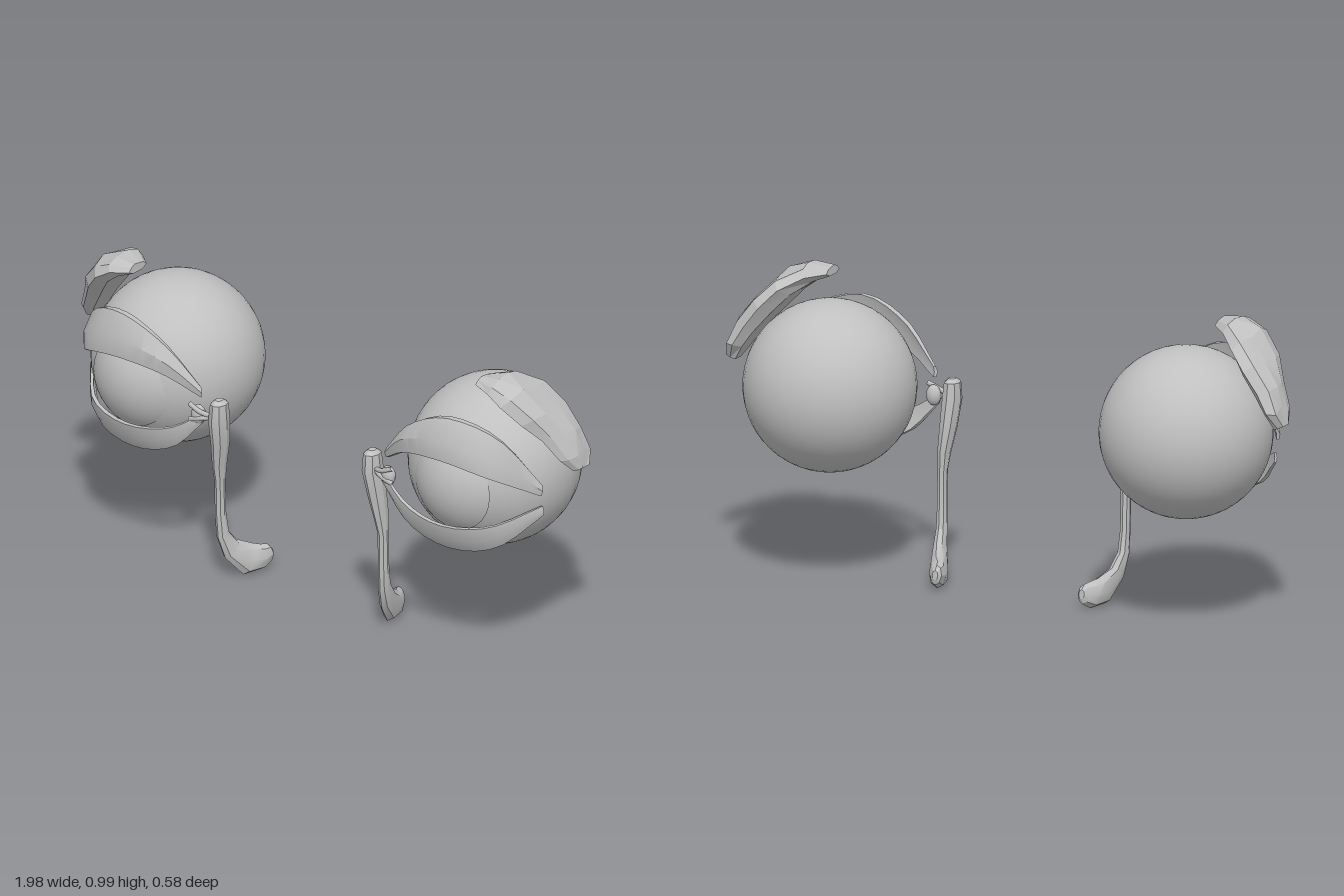
import * as THREE from 'three';
import { toCreasedNormals } from 'three/addons/utils/BufferGeometryUtils.js';

const V = (x, y, z) => new THREE.Vector3(x, y, z);

// Closed solid through equal-sized rings of points; side = -1 mirrors it in x.
function loft(rings, side, crease) {
  const n = rings[0].length, pos = [], idx = [];
  rings.flat().forEach(p => pos.push(p.x * side, p.y, p.z));
  for (let i = 0; i < rings.length - 1; i++) {
    for (let j = 0; j < n; j++) {
      const a = i * n + j, b = i * n + (j + 1) % n;
      idx.push(a, b, a + n, b, b + n, a + n);
    }
  }
  [0, rings.length - 1].forEach((r, k) => {
    const c = pos.length / 3, mid = V(0, 0, 0);
    rings[r].forEach(p => mid.addScaledVector(p, 1 / n));
    pos.push(mid.x * side, mid.y, mid.z);
    for (let j = 0; j < n; j++) {
      const a = r * n + j, b = r * n + (j + 1) % n;
      if (k === 0) idx.push(c, b, a); else idx.push(c, a, b);
    }
  });
  // a negative volume means the faces point inward
  const at = i => V(pos[3 * i], pos[3 * i + 1], pos[3 * i + 2]);
  let volume = 0;
  for (let i = 0; i < idx.length; i += 3) volume += at(idx[i]).dot(at(idx[i + 1]).cross(at(idx[i + 2])));
  if (volume < 0) idx.reverse();
  const g = new THREE.BufferGeometry();
  g.setAttribute('position', new THREE.Float32BufferAttribute(pos, 3));
  g.setIndex(idx);
  return toCreasedNormals(g, crease);
}

// Curved lid: stations of [x, low y, low z, high y, high z] on its inner face.
function lid(stations, thickness, bulge, side) {
  const low = new THREE.CatmullRomCurve3(stations.map(s => V(s[0], s[1], s[2])));
  const high = new THREE.CatmullRomCurve3(stations.map(s => V(s[0], s[3], s[4])));
  const rings = [];
  for (let i = 0; i <= 14; i++) {
    const t = i / 14, a = low.getPoint(t), b = high.getPoint(t);
    const mid = a.clone().lerp(b, 0.5);
    const out = V(mid.x - 0.63, 0, mid.z).normalize();
    const w = 0.35 + 0.65 * Math.sin(Math.PI * t);
    const push = (p, d) => p.clone().addScaledVector(out, d * w);
    rings.push([a, push(a, thickness), push(mid, thickness + bulge), push(b, thickness * 0.8), b, push(mid, bulge * 0.5)]);
  }
  return loft(rings, side, 0.6);
}

// Tear duct: rings of [x, y, z, half width, half depth] along a bending path.
function duct(side) {
  const path = [
    [0.305, 0.657, 0.2, 0.012, 0.015], [0.305, 0.645, 0.2, 0.026, 0.034], [0.306, 0.59, 0.2, 0.031, 0.04],
    [0.312, 0.5, 0.185, 0.027, 0.036], [0.322, 0.42, 0.176, 0.02, 0.03], [0.325, 0.36, 0.17, 0.016, 0.02],
    [0.325, 0.25, 0.168, 0.016, 0.02], [0.322, 0.17, 0.16, 0.018, 0.024], [0.312, 0.11, 0.13, 0.022, 0.037],
    [0.287, 0.062, 0.075, 0.03, 0.052], [0.272, 0.058, 0.03, 0.03, 0.044], [0.262, 0.065, 0.0, 0.02, 0.032],
    [0.26, 0.066, -0.01, 0.01, 0.016]];
  const rings = path.map((p, i) => {
    const a = path[Math.max(i - 1, 0)], b = path[Math.min(i + 1, path.length - 1)];
    const len = Math.hypot(b[1] - a[1], b[2] - a[2]);
    const ny = -(b[2] - a[2]) / len, nz = (b[1] - a[1]) / len;
    return Array.from({ length: 8 }, (_, j) => {
      const t = j / 8 * Math.PI * 2, d = Math.sin(t) * p[4];
      return V(p[0] + Math.cos(t) * p[3], p[1] + ny * d, p[2] + nz * d);
    });
  });
  return loft(rings, side, 0.5);
}

// Tear gland: lumpy shell, sections of [x, y, back z, front z, thickness].
function gland(side) {
  let seed = 7;
  const rand = () => (seed = (seed * 16807) % 2147483647) / 2147483647 - 0.5;
  const path = [
    [0.69, 0.98, 0.08, 0.165, 0.025], [0.75, 0.975, 0.025, 0.19, 0.055], [0.815, 0.94, -0.04, 0.19, 0.075],
    [0.87, 0.88, -0.065, 0.15, 0.078], [0.918, 0.815, -0.07, 0.1, 0.066], [0.955, 0.75, -0.07, 0.065, 0.055],
    [0.975, 0.703, -0.045, 0.02, 0.04]];
  // cross-section: across the width, and out from the eye
  const section = [[0, -0.1], [0.2, -0.5], [0.5, -0.5], [0.8, -0.5], [1, -0.1], [0.9, 0.32], [0.65, 0.52], [0.35, 0.5], [0.1, 0.3]];
  const rings = path.map((p, i) => {
    const a = path[Math.max(i - 1, 0)], b = path[Math.min(i + 1, path.length - 1)];
    const len = Math.hypot(b[0] - a[0], b[1] - a[1]);
    const nx = -(b[1] - a[1]) / len, ny = (b[0] - a[0]) / len;
    return section.map(([u, v]) => {
      const d = v * p[4] + (v > 0 ? rand() * 0.016 : 0);
      const slide = (i > 0 && i < path.length - 1) ? rand() * 0.02 : 0;
      return V(p[0] + nx * d + ny * slide, p[1] + ny * d - nx * slide, p[2] + u * (p[3] - p[2]) + rand() * 0.008);
    });
  });
  return loft(rings, side, 0.25);
}

export function createModel() {
  const model = new THREE.Group();
  model.name = 'eyeAnatomy';
  const grey = new THREE.MeshStandardMaterial({ color: 0xc0c0c0 });
  grey.name = 'lightGrey';

  for (const side of [1, -1]) {
    const eye = new THREE.Group();
    eye.name = side > 0 ? 'leftEye' : 'rightEye';
    model.add(eye);
    const add = (name, geometry) => {
      const mesh = new THREE.Mesh(geometry, grey);
      mesh.name = name;
      eye.add(mesh);
      return mesh;
    };

    // eyeball with a slightly bulging cornea
    add('eyeball', new THREE.SphereGeometry(0.277, 40, 28)).position.set(side * 0.632, 0.645, -0.012);
    const cap = new THREE.SphereGeometry(0.21, 28, 10, 0, Math.PI * 2, 0, Math.asin(0.15 / 0.21));
    add('cornea', cap.rotateX(Math.PI / 2)).position.set(side * 0.64, 0.635, 0.075);

    // lids standing just off the eyeball
    add('upperLid', lid([
      [0.375, 0.65, 0.205, 0.685, 0.205], [0.5, 0.722, 0.25, 0.815, 0.232], [0.645, 0.742, 0.262, 0.88, 0.235],
      [0.79, 0.708, 0.228, 0.835, 0.19], [0.895, 0.625, 0.1, 0.66, 0.092]], 0.026, 0.016, side));
    add('lowerLid', lid([
      [0.365, 0.565, 0.215, 0.595, 0.215], [0.48, 0.455, 0.215, 0.528, 0.24], [0.63, 0.413, 0.205, 0.505, 0.252],
      [0.78, 0.445, 0.178, 0.527, 0.214], [0.895, 0.553, 0.085, 0.585, 0.088]], 0.02, 0.008, side));

    // inner corner flesh and the two fine drainage tubes
    const corner = add('innerCorner', new THREE.SphereGeometry(1, 10, 8));
    corner.scale.set(0.026, 0.034, 0.02);
    corner.position.set(side * 0.378, 0.59, 0.212);
    for (const [name, y] of [['upperDrainTube', 0.625], ['lowerDrainTube', 0.572]]) {
      const curve = new THREE.CatmullRomCurve3([
        V(side * 0.405, y, 0.225), V(side * 0.36, 0.4 * y + 0.357, 0.225), V(side * 0.315, 0.595, 0.205)]);
      add(name, new THREE.TubeGeometry(curve, 8, 0.008, 6));
    }

    add('tearDuct', duct(side));
    add('tearGland', gland(side));
  }
  return model;
}
